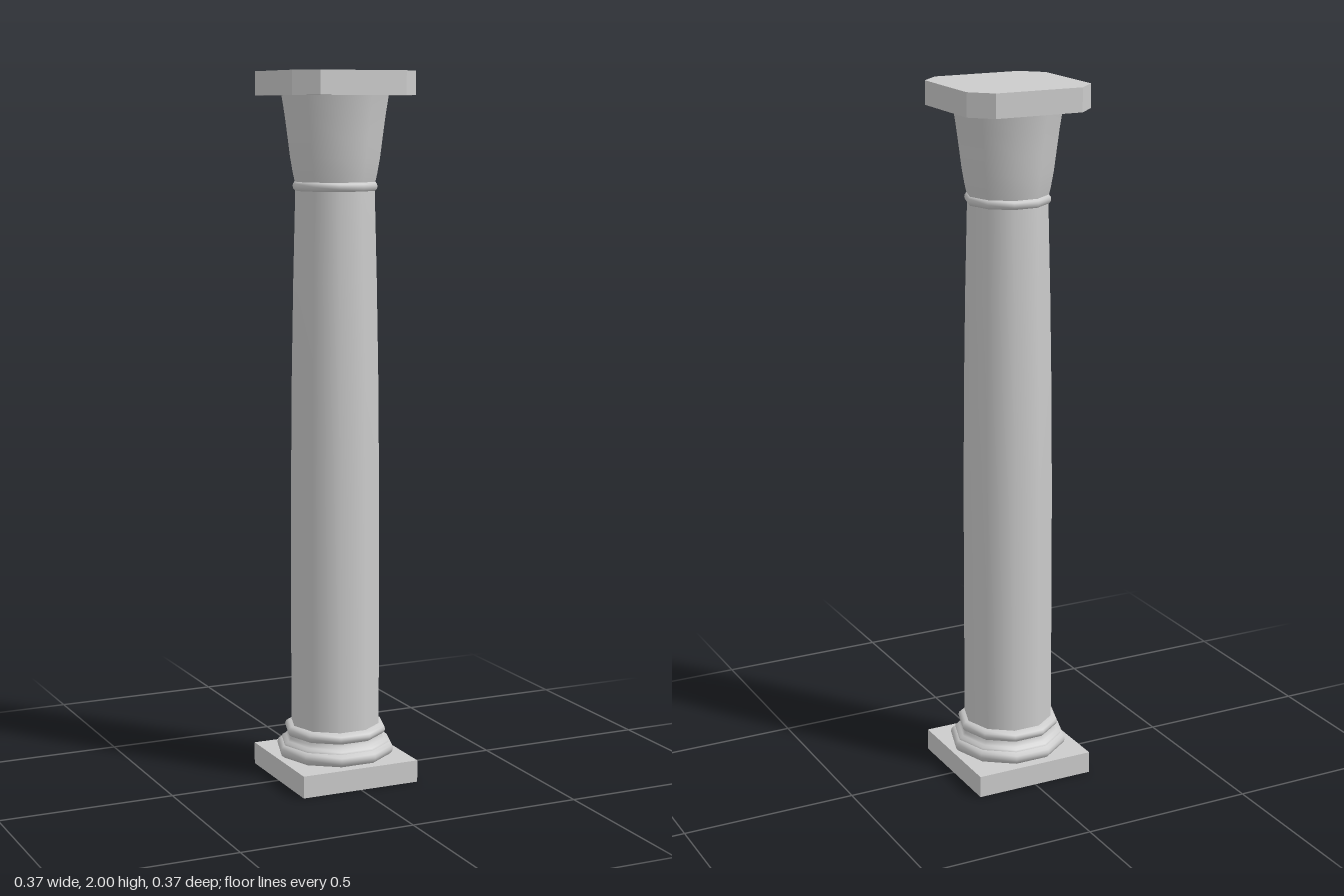
import * as THREE from 'three';

const SIDES = 10;

export function createModel() {
  const group = new THREE.Group();
  const material = new THREE.MeshStandardMaterial({ color: 0xcccccc });

  const add = (name, geometry, y = 0) => {
    const mesh = new THREE.Mesh(geometry, material);
    mesh.name = name;
    mesh.position.y = y;
    group.add(mesh);
  };

  // Turned part: [radius, height] pairs from bottom to top, with a corner on the x axis
  const turned = (name, profile) => {
    const points = profile.map(([r, y]) => new THREE.Vector2(r, y));
    add(name, new THREE.LatheGeometry(points, SIDES, Math.PI / 2));
  };

  // Rounded moulding bulging out from an inner radius
  const roundMoulding = (name, inner, outer, y0, y1, steps = 6) => {
    const profile = [];
    for (let i = 0; i <= steps; i++) {
      const a = (i / steps - 0.5) * Math.PI;
      profile.push([
        inner + (outer - inner) * Math.cos(a),
        (y0 + y1) / 2 + (y1 - y0) / 2 * Math.sin(a),
      ]);
    }
    turned(name, profile);
  };

  // Square plinth
  add('plinth', new THREE.BoxGeometry(0.354, 0.063, 0.354), 0.0315);

  // Base mouldings
  roundMoulding('lowerTorus', 0.15, 0.17, 0.063, 0.102);
  turned('scotia', [[0.157, 0.098], [0.155, 0.106], [0.145, 0.111], [0.139, 0.118], [0.137, 0.127]]);
  roundMoulding('upperTorus', 0.127, 0.147, 0.122, 0.155);

  // Shaft with a gentle swelling taper
  turned('shaft', [[0.128, 0.14], [0.128, 0.5], [0.127, 0.85], [0.124, 1.15], [0.119, 1.42], [0.112, 1.69]]);

  // Neck ring and flared bell of the capital
  roundMoulding('neckRing', 0.108, 0.12, 1.672, 1.7);
  turned('capitalBell', [[0.112, 1.69], [0.119, 1.72], [0.127, 1.765], [0.134, 1.82], [0.142, 1.88], [0.151, 1.936]]);

  // Abacus slab with cut corners
  const h = 0.185, c = 0.128;
  const outline = [[h, -c], [h, c], [c, h], [-c, h], [-h, c], [-h, -c], [-c, -h], [c, -h]];
  const shape = new THREE.Shape(outline.map(([x, y]) => new THREE.Vector2(x, y)));
  const slab = new THREE.ExtrudeGeometry(shape, { depth: 0.066, bevelEnabled: false });
  slab.rotateX(-Math.PI / 2);
  add('abacus', slab, 1.934);

  return group;
}
